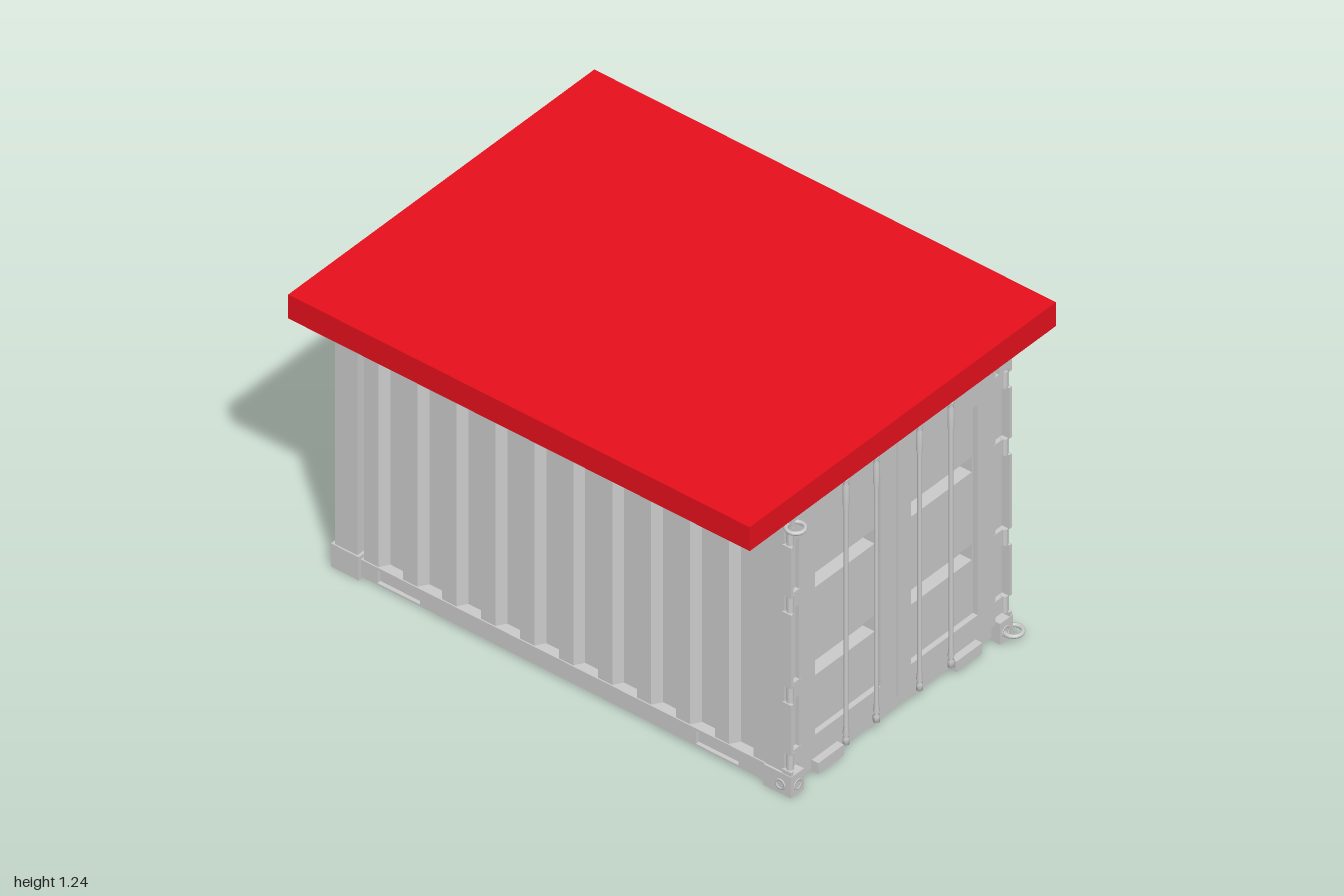
import * as THREE from 'three';

const grey = new THREE.MeshStandardMaterial({ color: 0xcccccc, side: THREE.DoubleSide });
const red = new THREE.MeshStandardMaterial({ color: 0xe8101c });

export function createModel() {
  const model = new THREE.Group();

  const add = (name, geo, mat = grey) => {
    const mesh = new THREE.Mesh(geo, mat);
    mesh.name = name;
    model.add(mesh);
    return mesh;
  };
  // Box given by its limits on each axis
  const box = (name, x0, x1, y0, y1, z0, z1, mat) => {
    const mesh = add(name, new THREE.BoxGeometry(Math.abs(x1 - x0), y1 - y0, Math.abs(z1 - z0)), mat);
    mesh.position.set((x0 + x1) / 2, (y0 + y1) / 2, (z0 + z1) / 2);
  };
  // Rectangular plate with rectangular openings, each given as [u0, u1, v0, v1]
  const outline = (Type, [u0, u1, v0, v1]) => new Type([
    new THREE.Vector2(u0, v0), new THREE.Vector2(u1, v0),
    new THREE.Vector2(u1, v1), new THREE.Vector2(u0, v1)]);
  const plate = (rect, openings, depth) => {
    const shape = outline(THREE.Shape, rect);
    shape.holes = openings.map((o) => outline(THREE.Path, o));
    return new THREE.ExtrudeGeometry(shape, { depth, bevelEnabled: false });
  };

  // Trapezoid-corrugated sheet standing along x; side is the z direction it faces
  const corrugated = (name, x0, x1, first, period, z, depth, side, y0, y1) => {
    const edge = [[x0, 0]];
    const top = period * 0.185, foot = period * 0.315;
    for (let c = first; c + foot < x1; c += period) {
      edge.push([c - foot, 0], [c - top, depth], [c + top, depth], [c + foot, 0]);
    }
    edge.push([x1, 0]);
    const at = (t) => ([x, d]) => new THREE.Vector2(x, -side * (z - depth + d - t));
    const shape = new THREE.Shape([...edge.map(at(0)), ...edge.slice().reverse().map(at(0.008))]);
    const geo = new THREE.ExtrudeGeometry(shape, { depth: y1 - y0, bevelEnabled: false });
    geo.rotateX(-Math.PI / 2).translate(0, y0, 0);
    return add(name, geo);
  };

  // Flat canopy
  box('canopy', -1, 0.948, 1.142, 1.24, -0.78, 0.78, red);

  // Floor with two groups of three grooves underneath
  const grooves = [0.49, 0.33, 0.17, -0.3, -0.45, -0.6].map((x) => [x - 0.03, x + 0.03, -0.485, 0.485]);
  const floor = plate([-0.97, 0.9, -0.54, 0.54], grooves, 0.04);
  add('floor', floor.rotateX(-Math.PI / 2).translate(0, 0.012, 0));
  box('floorDeck', -0.97, 0.9, 0.052, 0.06, -0.54, 0.54);

  // Long sides: wall, bottom rail with lift pockets, posts and corner blocks
  const pockets = [-0.72, 0.625].map((x) => [x - 0.09, x + 0.09, 0.017, 0.07]);
  for (const s of [1, -1]) {
    corrugated('sideWall', -0.9, 0.88, -0.84, 0.1645, 0.55, 0.035, s, 0.07, 1.143);
    const rail = add('bottomRail', plate([-0.9, 0.85, 0.01, 0.08], pockets, 0.045));
    rail.position.z = s > 0 ? 0.51 : -0.555;

    box('rearPost', -0.985, -0.89, 0.09, 1.1, s * 0.49, s * 0.56);
    box('rearBottomCorner', -0.997, -0.88, 0, 0.095, s * 0.5, s * 0.566);
    box('rearTopCorner', -0.995, -0.88, 1.1, 1.143, s * 0.5, s * 0.566);

    box('doorPost', 0.83, 0.91, 0.08, 1.143, s * 0.49, s * 0.558);
    box('doorBottomCorner', 0.83, 0.945, 0, 0.085, s * 0.5, s * 0.566);
    box('doorTopCorner', 0.83, 0.943, 1.105, 1.143, s * 0.5, s * 0.562);

    // Door-post flange, cut away where the hinges sit
    const hinges = [0.135, 0.41, 0.78, 1.055];
    let y = 0.085;
    for (const h of [...hinges, 1.139]) {
      box('postFlange', 0.905, 0.943, y, h - 0.034, s * 0.55, s * 0.563);
      y = h + 0.034;
    }
    for (const h of hinges) {
      box('hingeLeaf', 0.905, 0.926, h - 0.032, h + 0.032, s * 0.49, s * 0.55);
      const pin = add('hingePin', new THREE.CylinderGeometry(0.013, 0.013, 0.066, 10));
      pin.position.set(0.925, h, s * 0.546);
    }

    // Eyelets on the two outer faces of the lower corner block
    const sideEye = add('cornerEyelet', new THREE.TorusGeometry(0.018, 0.005, 6, 16));
    sideEye.position.set(0.9, 0.038, s * 0.565);
    const endEye = add('cornerEyelet', new THREE.TorusGeometry(0.018, 0.005, 6, 16));
    endEye.rotation.y = Math.PI / 2;
    endEye.position.set(0.943, 0.038, s * 0.53);
  }

  // Closed end
  const endWall = corrugated('endWall', -0.5, 0.5, -0.411, 0.1175, 0.975, 0.03, -1, 0.07, 1.143);
  endWall.rotation.y = Math.PI / 2;
  box('endRail', -0.985, -0.92, 0.01, 0.085, -0.5, 0.5);
  const knob = add('endKnob', new THREE.CylinderGeometry(0.022, 0.022, 0.04, 14));
  knob.rotation.z = Math.PI / 2;
  knob.position.set(-0.966, 0.65, -0.03);

  // Door frame: sill, header and lift blocks
  box('doorSill', 0.86, 0.908, 0.012, 0.072, -0.5, 0.5);
  box('doorHeader', 0.86, 0.908, 1.08, 1.125, -0.5, 0.5);
  for (const z of [0.355, -0.35]) box('sillBlock', 0.88, 0.94, 0.012, 0.056, z - 0.065, z + 0.065);

  // Plate facing +x, drawn in (-z, y)
  const sheet = (name, rect, openings, x0, x1) => {
    add(name, plate(rect, openings, x1 - x0).rotateY(Math.PI / 2).translate(x0, 0, 0));
  };

  // Two doors: frame, sunken panel with two deep slots, back plate
  for (const [u0, u1, p0, p1] of [[-0.5, -0.004, -0.42, -0.085], [0.004, 0.5, 0.07, 0.41]]) {
    const door = [u0, u1, 0.072, 1.118];
    const recess = [p0, p1, 0.165, 1.027];
    const slots = [[0.385, 0.45], [0.745, 0.807]].map(([y0, y1]) => [p0 + 0.01, p1 - 0.006, y0, y1]);
    sheet('doorFrame', door, [recess], 0.895, 0.925);
    sheet('doorPanel', recess, slots, 0.855, 0.905);
    sheet('doorBack', door, [], 0.847, 0.855);
  }

  // Locking rods with thicker ends
  const rodProfile = [
    [0, 0.045], [0.012, 0.045], [0.012, 0.07], [0.007, 0.075], [0.012, 0.09], [0.008, 0.12],
    [0.008, 1.01], [0.012, 1.03], [0.012, 1.105], [0.007, 1.115], [0.012, 1.125], [0.012, 1.142], [0, 1.142],
  ].map(([r, y]) => new THREE.Vector2(r, y));
  for (const z of [0.27, 0.115, -0.105, -0.265]) {
    const rod = add('lockingRod', new THREE.LatheGeometry(rodProfile, 12));
    rod.position.set(0.932, 0, z);
  }

  // Lashing rings on opposite corners
  for (const [y, z] of [[1.115, 0.56], [0.036, -0.55]]) {
    const ring = add('lashingRing', new THREE.TorusGeometry(0.032, 0.008, 8, 24));
    ring.rotation.x = Math.PI / 2;
    ring.position.set(0.96, y, z);
  }

  return model;
}
